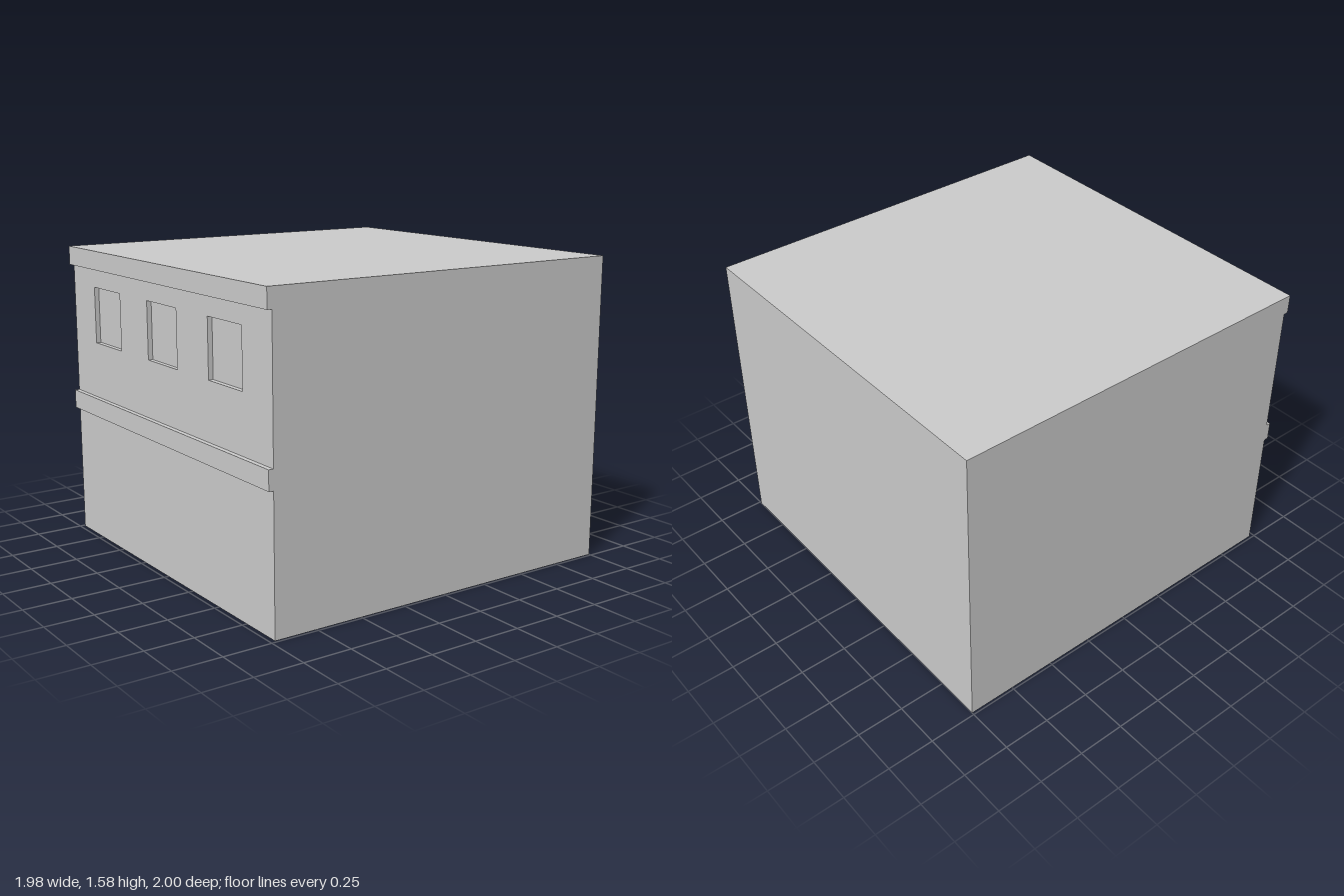
import * as THREE from 'three';

const U = 2 / 20.25;        // building module
const W = 10 * U;           // half width
const H = 16 * U;           // height
const BACK = -1, BAND = 1;  // back wall and band faces
const WALL = BAND - 0.25 * U;
const PANE = WALL - 0.25 * U;

const material = new THREE.MeshStandardMaterial({ color: 0xcccccc, side: THREE.DoubleSide });

function add(group, name, geometry) {
  const mesh = new THREE.Mesh(geometry, material);
  mesh.name = name;
  group.add(mesh);
  return mesh;
}

// Flat strips spanning x0..x1 along a list of [z, y] points
function strips(points, x0 = -W, x1 = W) {
  const pos = [];
  for (let i = 0; i < points.length - 1; i++) {
    const [az, ay] = points[i], [bz, by] = points[i + 1];
    pos.push(x0, ay, az, x1, ay, az, x1, by, bz, x0, ay, az, x1, by, bz, x0, by, bz);
  }
  const g = new THREE.BufferGeometry();
  g.setAttribute('position', new THREE.Float32BufferAttribute(pos, 3));
  g.computeVertexNormals();
  return g;
}

function rect(Type, x0, y0, x1, y1) {
  return new Type([[x0, y0], [x1, y0], [x1, y1], [x0, y1]].map(p => new THREE.Vector2(...p)));
}

export function createModel() {
  const model = new THREE.Group();
  model.name = 'building';

  // Front profile: lower wall, string course, upper wall, cornice
  const lower = [[WALL, 0], [WALL, 7 * U]];
  const course = [[WALL, 7 * U], [BAND, 7 * U], [BAND, 8 * U], [WALL, 8 * U]];
  const cornice = [[WALL, 15 * U], [BAND, 15 * U], [BAND, H]];
  const roof = [[BAND, H], [BACK, H]];
  const back = [[BACK, H], [BACK, 0]];

  add(model, 'lowerFrontWall', strips(lower));
  add(model, 'stringCourse', strips(course));
  add(model, 'cornice', strips(cornice));
  add(model, 'roof', strips(roof));
  add(model, 'backWall', strips(back));

  // Side walls follow the whole profile
  const outline = [...lower, ...course.slice(1), ...cornice, ...back];
  for (const [name, s] of [['leftWall', 1], ['rightWall', -1]]) {
    const shape = new THREE.Shape(outline.map(([z, y]) => new THREE.Vector2(-s * z, y)));
    const wall = add(model, name, new THREE.ShapeGeometry(shape).rotateY(s * Math.PI / 2));
    wall.position.x = s * W;
  }

  // Upper front wall with three recessed windows
  const facade = rect(THREE.Shape, -W, 8 * U, W, 15 * U);
  const y0 = 11 * U, y1 = 14 * U, half = 1.5 * U;
  for (const cx of [-6 * U, 0, 6 * U]) {
    facade.holes.push(rect(THREE.Path, cx - half, y0, cx + half, y1));

    const recess = new THREE.Group();
    recess.name = 'window';
    recess.position.x = cx;
    // Sill, pane and head in one strip
    add(recess, 'sillPaneHead', strips([[WALL, y0], [PANE, y0], [PANE, y1], [WALL, y1]], -half, half));
    for (const s of [-1, 1]) {
      const jamb = add(recess, 'jamb', new THREE.PlaneGeometry(WALL - PANE, y1 - y0).rotateY(-s * Math.PI / 2));
      jamb.position.set(s * half, (y0 + y1) / 2, (WALL + PANE) / 2);
    }
    model.add(recess);
  }
  add(model, 'upperFrontWall', new THREE.ShapeGeometry(facade)).position.z = WALL;

  return model;
}
